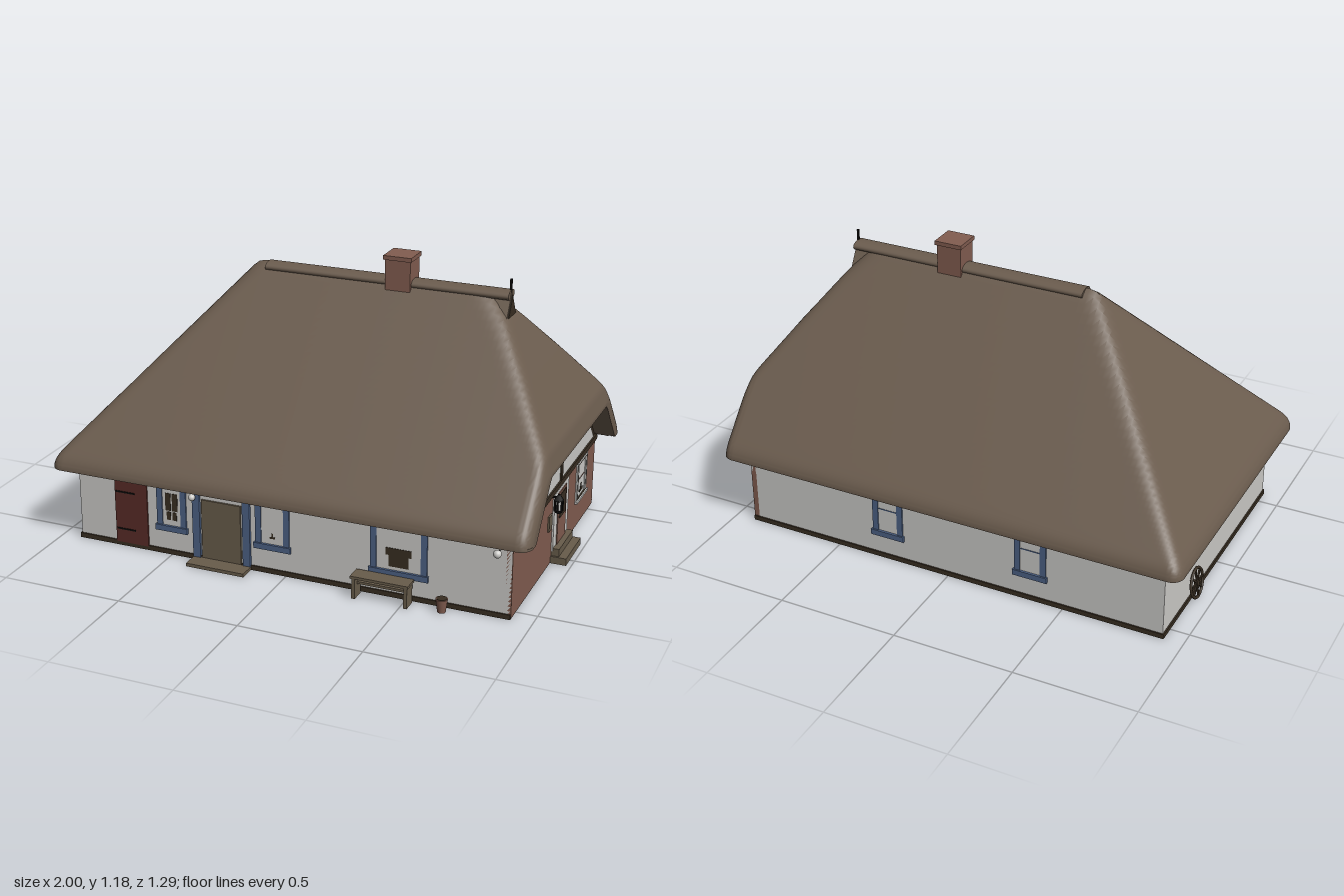
import * as THREE from 'three';
import { toCreasedNormals } from 'three/addons/utils/BufferGeometryUtils.js';

const material = (name, color) => {
  const m = new THREE.MeshStandardMaterial({ color });
  m.name = name;
  return m;
};

const M = {
  thatch: material('thatch', 0x6b5c4e),
  plaster: material('plaster', 0xcccbc8),
  brick: material('brick', 0x825d50),
  timber: material('darkTimber', 0x382e22),
  blue: material('bluePaint', 0x4d6286),
  red: material('redPaint', 0x592c27),
  oak: material('weatheredOak', 0x685c4b),
  iron: material('blackIron', 0x0e0d0c),
};

const smin = (a, b, k) => {
  const h = Math.max(k - Math.abs(a - b), 0) / k;
  return Math.min(a, b) - h * h * k / 4;
};

// Height of a thatch slope at distance e from its eave, with a rounded lip
const slope = e => 0.335 + 1.16 * e + 0.02 * (1 - Math.exp(-e / 0.008));
const halfHip = e => {
  const p = [[0, 0.535], [0.02, 0.6], [0.16, 0.805], [0.295, 0.99], [0.37, 1.07], [2, 2.6]];
  const i = p.findIndex((q, k) => k > 0 && e <= q[0]);
  const [a, b] = [p[i - 1], p[i]];
  return a[1] + (b[1] - a[1]) * (e - a[0]) / (b[0] - a[0]);
};

// Roof: closed cross-sections along x, full hip at -x and half hip at +x
function roofGeometry() {
  const N = 110, n = 80, pos = [], idx = [], ring = 2 * n + 2;
  const xs = [];
  for (let i = 0; i <= N; i++) {
    const x = -Math.cos(Math.PI * i / N);
    if (x > 0.9 && xs[xs.length - 1].x <= 0.9) xs.push({ x: 0.9, open: false }, { x: 0.9, open: true });
    xs.push({ x, open: x > 0.9 });
  }
  for (const { x, open } of xs) {
    const r = 0.05, d = Math.min(1 - Math.abs(x), r);
    const hz = 0.645 - r + Math.sqrt(r * r - (r - d) ** 2);
    const zs = Array.from({ length: n + 1 }, (_, j) => hz * Math.sin(Math.PI / 2 * (2 * j / n - 1)));
    const verge = 0.02 * (1 - Math.min((1 - x) / 0.04, 1)) ** 2;
    for (const z of zs) {
      const main = Math.max(slope(hz - Math.abs(z)) - verge, 0.33);
      let y = smin(main, slope(x + 1), 0.05);
      y = smin(y, halfHip(1 - x), 0.06);
      pos.push(x, Math.max(smin(y, 1.091, 0.015), 0.328), z);
    }
    for (const z of zs.reverse()) {
      const gable = Math.max(0.32, Math.min(0.52, 0.32 + (0.56 - Math.abs(z)) * 1.18));
      pos.push(x, open ? gable : 0.32, z);
    }
  }
  const last = (xs.length - 1) * ring;
  for (let i = 0; i < xs.length - 1; i++) {
    for (let j = 0; j < ring; j++) {
      const a = i * ring + j, b = i * ring + (j + 1) % ring;
      idx.push(a, b, a + ring, b, b + ring, a + ring);
    }
  }
  for (let j = 0; j < n; j++) {
    const t = j, u = ring - 1 - j;
    idx.push(last + u, last + t, last + t + 1, last + u, last + t + 1, last + u - 1);
    idx.push(u, t + 1, t, u, u - 1, t + 1);
  }
  const g = new THREE.BufferGeometry();
  g.setAttribute('position', new THREE.Float32BufferAttribute(pos, 3));
  g.setIndex(idx);
  return toCreasedNormals(g, 0.6);
}

export function createModel() {
  const house = new THREE.Group();
  house.name = 'thatchedCottage';

  const add = (name, geo, mat, parent = house) => {
    const mesh = new THREE.Mesh(geo, mat);
    mesh.name = name;
    parent.add(mesh);
    return mesh;
  };
  const box = (name, mat, x0, x1, y0, y1, z0, z1, parent) => {
    const mesh = add(name, new THREE.BoxGeometry(x1 - x0, y1 - y0, z1 - z0), mat, parent);
    mesh.position.set((x0 + x1) / 2, (y0 + y1) / 2, (z0 + z1) / 2);
    return mesh;
  };
  const ball = (name, mat, r, x, y, z) =>
    add(name, new THREE.SphereGeometry(r, 16, 12), mat).position.set(x, y, z);
  // Plate outlined in (z, y) and extruded towards +x
  const plate = (name, mat, pts, x, depth) => {
    const geo = new THREE.ExtrudeGeometry(new THREE.Shape(pts.map(p => new THREE.Vector2(...p))),
      { depth, bevelEnabled: false });
    add(name, geo.rotateY(Math.PI / 2), mat).position.x = x;
  };

  // Walls, open underneath, with a dark lining and footing
  box('frontWall', M.plaster, -0.915, 0.913, 0.004, 0.32, 0.54, 0.563);
  box('backWall', M.plaster, -0.915, 0.913, 0.004, 0.32, -0.563, -0.54);
  box('leftWall', M.plaster, -0.915, -0.892, 0.004, 0.32, -0.56, 0.56);
  box('brickGableWall', M.brick, 0.892, 0.915, 0.004, 0.31, -0.563, 0.563);
  for (const s of [-1, 1]) {
    box('longLining', M.iron, -0.89, 0.89, 0, 0.316, s * 0.537 - 0.003, s * 0.537 + 0.003);
    box('endLining', M.iron, s * 0.889 - 0.003, s * 0.889 + 0.003, 0, 0.316, -0.535, 0.535);
    box('longPlinth', M.timber, -0.92, 0.914, 0, 0.02, s * 0.554 - 0.015, s * 0.554 + 0.015);
    box('longWallPlate', M.timber, -0.92, 0.92, 0.297, 0.325, s * 0.563 - 0.008, s * 0.563 + 0.008);
    box('endWallPlate', M.timber, s * 0.915 - 0.008, s * 0.915 + 0.008, 0.299, 0.322, -0.568, 0.568);
  }
  box('leftPlinth', M.timber, -0.921, -0.889, 0, 0.02, -0.565, 0.565);
  box('gableFooting', M.timber, 0.889, 0.914, 0, 0.004, -0.56, 0.56);
  box('ceiling', M.timber, -0.89, 0.89, 0.312, 0.318, -0.54, 0.54);

  // Timber-framed upper gable
  plate('gableFrame', M.timber, [[-0.57, 0.31], [0.57, 0.31], [0.395, 0.525], [-0.395, 0.525]], 0.897, 0.015);
  plate('gableInfill', M.plaster, [[-0.53, 0.322], [0.53, 0.322], [0.38, 0.5], [-0.38, 0.5]], 0.912, 0.004);
  box('gablePost', M.timber, 0.91, 0.922, 0.32, 0.505, -0.054, -0.031);

  // Roof, low ridge roll, owl hole and finial
  add('thatchRoof', roofGeometry(), M.thatch);
  const ridge = add('ridgeRoll', new THREE.CylinderGeometry(0.04, 0.04, 1.02, 24).rotateZ(Math.PI / 2), M.thatch);
  ridge.scale.y = 0.5;
  ridge.position.set(0.19, 1.071, 0);
  plate('owlHoleFrame', M.thatch, [[-0.06, 0.982], [0.06, 0.982], [0, 1.088]], 0.6, 0.102);
  plate('owlHole', M.timber, [[-0.045, 0.988], [0.045, 0.988], [0, 1.07]], 0.702, 0.004);
  box('finial', M.iron, 0.694, 0.702, 1.04, 1.135, -0.004, 0.004);

  // Chimney
  box('chimneyStack', M.brick, 0.2, 0.305, 1.0, 1.17, -0.05, 0.05);
  box('chimneyCap', M.brick, 0.194, 0.311, 1.168, 1.185, -0.058, 0.056);

  // Window facing +z about its own centre line; placed on any wall
  const addWindow = (name, w, y0, y1, paint, x, z, turn, sillHeight = 0.024) => {
    const g = new THREE.Group();
    g.name = name;
    const h = w / 2, f = 0.025;
    box('pane', M.plaster, -h + 0.01, h - 0.01, y0, y1, -0.004, 0.002, g);
    for (const s of [-1, 1]) {
      const c = s * (h - f / 2);
      box('jamb', paint, c - f / 2, c + f / 2, y0, y1, -0.004, 0.006, g);
    }
    box('lintel', paint, -h, h, y1 - 0.012, y1, -0.004, 0.007, g);
    box('sill', paint, -h - 0.006, h + 0.006, y0 - 0.004, y0 - 0.004 + sillHeight, -0.004, 0.012, g);
    g.position.set(x, 0, z);
    g.rotation.y = turn;
    house.add(g);
    return g;
  };
  const curtained = addWindow('frontLeftWindow', 0.13, 0.106, 0.3, M.blue, -0.497, 0.563, 0);
  for (const s of [-1, 1]) {
    box('darkGlass', M.timber, s * 0.015 - 0.012, s * 0.015 + 0.012, 0.19, 0.265, 0, 0.004, curtained);
    box('darkGlassLower', M.timber, s * 0.013 - 0.009, s * 0.013 + 0.009, 0.15, 0.185, 0, 0.004, curtained);
  }
  const middle = addWindow('frontMiddleWindow', 0.145, 0.106, 0.3, M.blue, -0.057, 0.563, 0);
  box('ornament', M.timber, -0.012, 0.012, 0.15, 0.157, 0, 0.004, middle);
  box('ornamentStem', M.timber, -0.003, 0.003, 0.157, 0.172, 0, 0.004, middle);
  const wide = addWindow('frontWideWindow', 0.23, 0.094, 0.3, M.blue, 0.468, 0.563, 0);
  box('darkGlass', M.timber, -0.052, 0.052, 0.175, 0.205, 0, 0.004, wide);
  box('darkGlassLower', M.timber, -0.04, 0.04, 0.128, 0.175, 0, 0.004, wide);
  for (const x of [0.27, -0.36]) {
    const back = addWindow('backWindow', 0.135, 0.106, 0.3, M.blue, x, -0.563, Math.PI);
    box('glazingBar', M.blue, -0.042, 0.042, 0.225, 0.229, 0, 0.004, back);
  }
  const side = addWindow('gableWindow', 0.15, 0.12, 0.295, M.plaster, 0.915, -0.357, Math.PI / 2, 0.01);
  box('glazingLine', M.brick, -0.04, 0.04, 0.209, 0.212, 0, 0.004, side);
  box('ornament', M.timber, -0.026, 0.026, 0.147, 0.156, 0, 0.004, side);
  box('ornamentStem', M.timber, -0.007, 0.007, 0.156, 0.18, 0, 0.004, side);
  for (const s of [-1, 1]) {
    box('frameSideLine', M.timber, s * 0.063 - 0.001, s * 0.063 + 0.001, 0.13, 0.284, 0, 0.007, side);
    box('frameCrossLine', M.timber, -0.063, 0.063, 0.206 + s * 0.077, 0.208 + s * 0.077, 0, 0.008, side);
  }

  // Red shed door with hinges
  box('shedDoor', M.red, -0.75, -0.605, 0.015, 0.285, 0.56, 0.57);
  for (const y of [0.075, 0.237]) box('hinge', M.iron, -0.745, -0.66, y - 0.003, y + 0.003, 0.568, 0.573);

  // Main front door
  for (const x of [-0.385, -0.167]) box('doorPost', M.blue, x - 0.016, x + 0.016, 0.005, 0.3, 0.56, 0.574);
  box('frontDoor', M.oak, -0.362, -0.192, 0.015, 0.265, 0.56, 0.571);
  box('frontStep', M.oak, -0.4, -0.15, 0, 0.014, 0.56, 0.64);

  // Gable door with two steps
  box('gableDoorSurround', M.plaster, 0.91, 0.922, 0.05, 0.296, -0.15, 0.05);
  box('gableDoor', M.brick, 0.915, 0.926, 0.05, 0.282, -0.107, 0.007);
  box('gableDoorGlass', M.timber, 0.92, 0.929, 0.17, 0.272, -0.088, -0.01);
  box('lowerStep', M.oak, 0.91, 0.98, 0, 0.03, -0.155, 0.055);
  box('upperStep', M.oak, 0.91, 0.948, 0.03, 0.062, -0.147, 0.047);
  box('letterBox', M.oak, 0.91, 0.922, 0.16, 0.224, 0.073, 0.114);

  // Wall lantern on the gable: pale glass in an iron cage
  const lantern = new THREE.Group();
  lantern.name = 'lantern';
  add('glass', new THREE.CylinderGeometry(0.012, 0.01, 0.045, 12), M.plaster, lantern).position.y = 0.259;
  add('cap', new THREE.CylinderGeometry(0.006, 0.021, 0.024, 6), M.iron, lantern).position.y = 0.293;
  add('base', new THREE.CylinderGeometry(0.017, 0.014, 0.01, 6), M.iron, lantern).position.y = 0.234;
  for (let i = 0; i < 6; i++) {
    const a = i * Math.PI / 3, [x, z] = [0.016 * Math.sin(a), 0.016 * Math.cos(a)];
    box('cageBar', M.iron, x - 0.003, x + 0.003, 0.235, 0.285, z - 0.003, z + 0.003, lantern);
  }
  box('arm', M.iron, -0.03, 0, 0.288, 0.295, -0.003, 0.003, lantern);
  lantern.position.set(0.942, 0, 0.064);
  house.add(lantern);

  // Globe lamps on the front
  ball('cornerLamp', M.plaster, 0.016, 0.862, 0.27, 0.587);
  box('cornerLampArm', M.iron, 0.858, 0.866, 0.268, 0.276, 0.56, 0.576);
  ball('doorLamp', M.plaster, 0.014, -0.395, 0.275, 0.585);

  // Bench
  box('benchSeat', M.oak, 0.3, 0.535, 0.085, 0.096, 0.575, 0.642);
  box('benchRail', M.oak, 0.31, 0.525, 0.055, 0.065, 0.602, 0.616);
  for (const x of [0.312, 0.523]) box('benchLeg', M.oak, x - 0.007, x + 0.007, 0, 0.086, 0.58, 0.638);

  // Flower pot
  const pot = add('flowerPot', new THREE.CylinderGeometry(0.024, 0.016, 0.055, 16), M.brick);
  pot.position.set(0.657, 0.0275, 0.605);
  add('potSoil', new THREE.CylinderGeometry(0.02, 0.02, 0.004, 16), M.timber).position.set(0.657, 0.055, 0.605);

  // Cart wheel leaning on the left wall
  const wheel = new THREE.Group();
  wheel.name = 'cartWheel';
  add('rim', new THREE.TorusGeometry(0.06, 0.006, 8, 28), M.timber, wheel);
  add('hub', new THREE.CylinderGeometry(0.012, 0.012, 0.014, 12).rotateX(Math.PI / 2), M.timber, wheel);
  for (let i = 0; i < 4; i++) box('spokes', M.timber, -0.058, 0.058, -0.004, 0.004, -0.003, 0.003, wheel).rotation.z = i * Math.PI / 4;
  wheel.rotation.set(-0.15, -Math.PI / 2, 0, 'YXZ');
  wheel.position.set(-0.932, 0.067, -0.26);
  house.add(wheel);

  return house;
}
